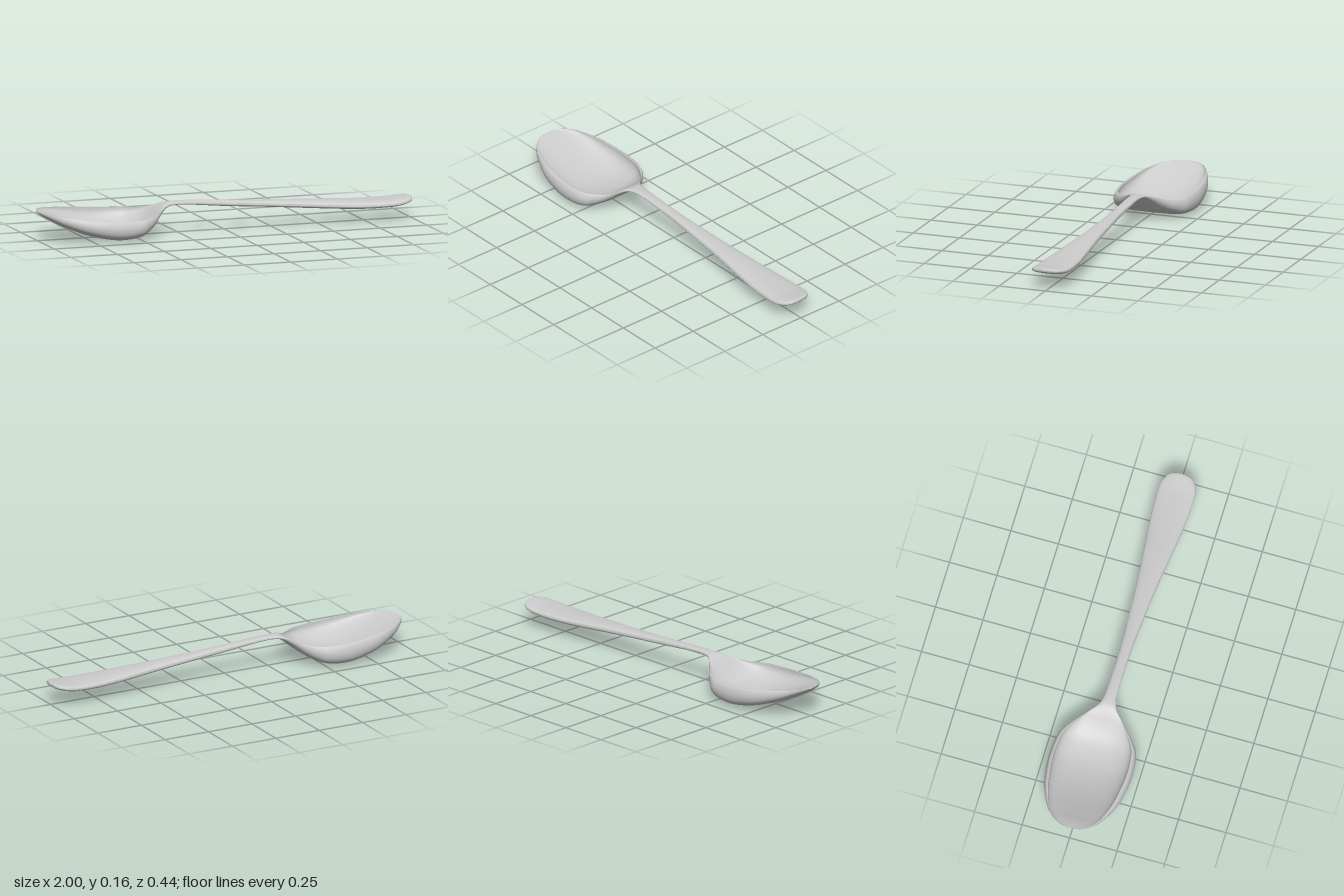
import * as THREE from 'three';

// Stations along the spoon: x, half width, rim height, underside height, upper face height, squareness
const stations = [
  [-1.0, 0.012, 0.148, 0.142, 0.147, 3],
  [-0.985, 0.065, 0.147, 0.13, 0.143, 3.5],
  [-0.95, 0.112, 0.143, 0.108, 0.131, 4],
  [-0.9, 0.15, 0.137, 0.08, 0.109, 4.5],
  [-0.8, 0.193, 0.126, 0.04, 0.068, 5],
  [-0.7, 0.213, 0.117, 0.012, 0.038, 5],
  [-0.6, 0.218, 0.11, -0.001, 0.024, 5],
  [-0.5, 0.204, 0.107, 0.01, 0.034, 5],
  [-0.44, 0.165, 0.108, 0.036, 0.059, 4.5],
  [-0.4, 0.125, 0.113, 0.065, 0.089, 4],
  [-0.36, 0.082, 0.13, 0.1, 0.128, 3.2],
  [-0.32, 0.048, 0.145, 0.13, 0.153, 3],
  [-0.27, 0.032, 0.15, 0.14, 0.159, 3],
  [-0.18, 0.029, 0.148, 0.136, 0.158, 3],
  [0.0, 0.03, 0.134, 0.118, 0.148, 3],
  [0.2, 0.041, 0.12, 0.103, 0.136, 3],
  [0.4, 0.056, 0.107, 0.087, 0.126, 3],
  [0.6, 0.077, 0.094, 0.072, 0.115, 3],
  [0.75, 0.091, 0.088, 0.065, 0.107, 3],
  [0.88, 0.096, 0.089, 0.068, 0.106, 3],
  [0.94, 0.09, 0.095, 0.076, 0.11, 3],
  [0.98, 0.068, 0.102, 0.086, 0.114, 3],
  [0.995, 0.04, 0.105, 0.094, 0.114, 3],
  [1.0, 0.008, 0.107, 0.102, 0.111, 3],
];
const NECK = 12; // station where the bowl hands over to the handle
const STEPS = 6; // rings per station
const HALF = 32; // segments across each face

const smoothCurve = (a, b, c) => new THREE.CatmullRomCurve3(
  stations.map((s) => new THREE.Vector3(s[a], s[b], s[c])), false, 'catmullrom', 0.5);

export function createModel() {
  const outline = smoothCurve(0, 1, 2);
  const depth = smoothCurve(3, 4, 5);
  const rings = (stations.length - 1) * STEPS;
  const ringSize = 2 * (HALF + 1);
  const positions = [];

  // Each ring runs across the underside, then back over the upper face
  for (let i = 0; i <= rings; i++) {
    const { x, y: width, z: rim } = outline.getPoint(i / rings);
    const { x: under, y: upper, z: square } = depth.getPoint(i / rings);
    const lip = Math.min(width * 0.3, THREE.MathUtils.clamp((rim - upper) * 0.2, 0.001, 0.014));
    const drift = 0.005 * THREE.MathUtils.smoothstep(x, 0, 0.9);
    for (let j = 0; j < ringSize; j++) {
      const isUpper = j > HALF;
      // points gather towards the rim
      const u = (isUpper ? ringSize - 1 - j : j) / HALF;
      const angle = Math.PI / 2 * (1 - Math.cos(Math.PI * u));
      const n = isUpper ? Math.min(square, 2.4) : square;
      const c = Math.cos(angle);
      const across = Math.sign(c) * Math.pow(Math.abs(c), 2 / n);
      const down = Math.pow(Math.max(0, Math.sin(angle)), 2 / n);
      // the outer wall leans in towards the lip
      const lean = lip * Math.pow(Math.max(0, 1 - down / 0.45), 2);
      const z = across * (width - (isUpper ? lip * 1.8 : lean));
      const y = rim + ((isUpper ? upper : under) - rim) * down;
      // the rim sits a touch higher at the back
      positions.push(x, y - 0.03 * z * (1 - down), z + drift);
    }
  }

  // Faces between two ring numbers
  const skin = (from, to) => {
    const index = [];
    for (let i = from; i < to; i++) {
      for (let j = 0; j < ringSize; j++) {
        const k = (j + 1) % ringSize;
        const a = i * ringSize + j, c = i * ringSize + k;
        const b = a + ringSize, d = c + ringSize;
        index.push(a, c, b, b, c, d);
      }
    }
    return index;
  };

  // Normals come from the whole skin so the neck stays seamless
  const whole = new THREE.BufferGeometry();
  whole.setAttribute('position', new THREE.Float32BufferAttribute(positions, 3));
  whole.setIndex(skin(0, rings));
  whole.computeVertexNormals();

  const group = new THREE.Group();
  group.name = 'spoon';
  const material = new THREE.MeshStandardMaterial({ color: 0xcccccc });
  const addPart = (name, from, to) => {
    const geometry = whole.clone();
    geometry.setIndex(skin(from, to));
    const mesh = new THREE.Mesh(geometry, material);
    mesh.name = name;
    group.add(mesh);
  };
  addPart('bowl', 0, NECK * STEPS);
  addPart('handle', NECK * STEPS, rings);
  return group;
}
